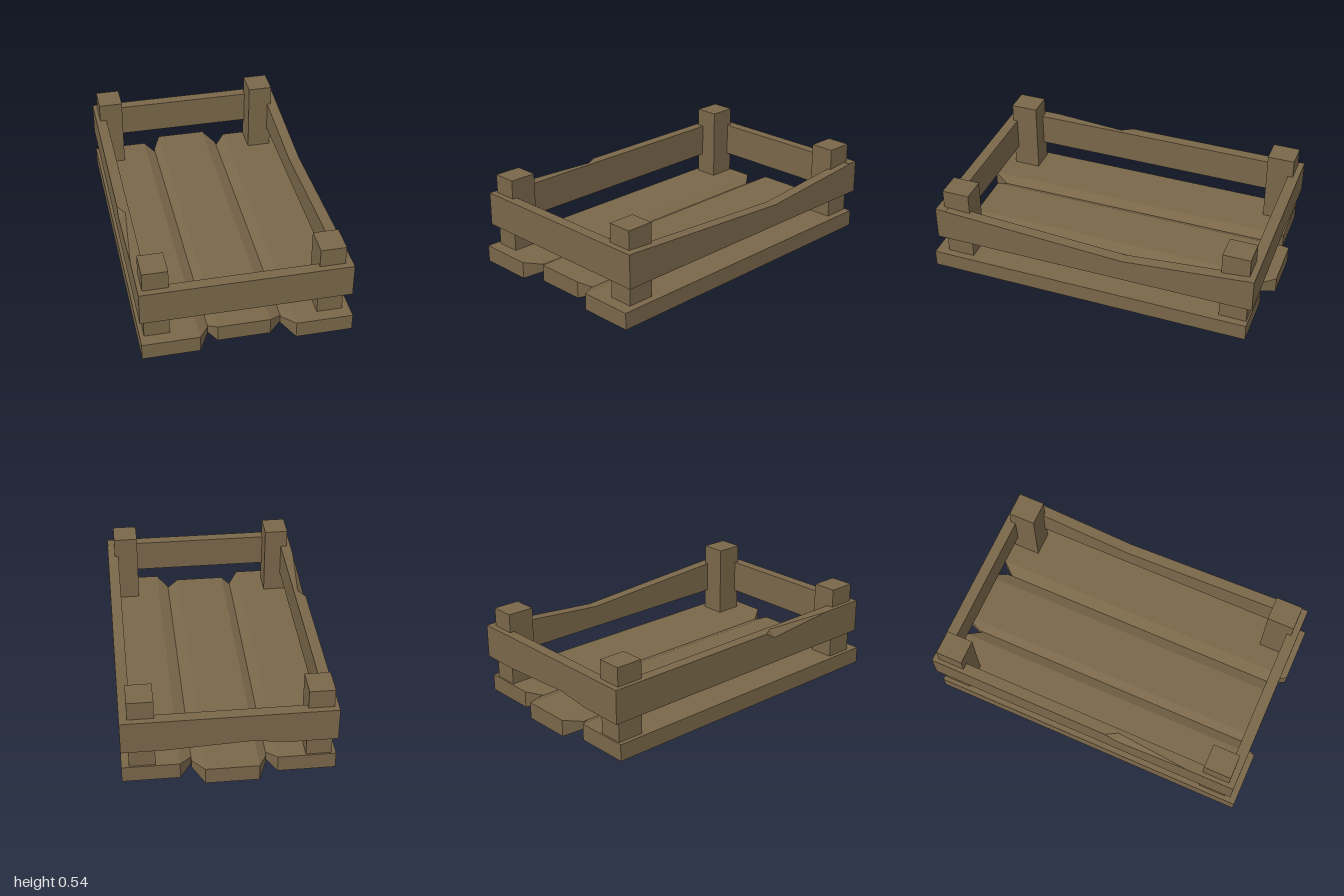
import * as THREE from 'three';
import { ConvexGeometry } from 'three/addons/geometries/ConvexGeometry.js';

const wood = new THREE.MeshStandardMaterial({ color: 0x7a674a });
wood.name = 'weathered wood';

function part(group, name, geometry) {
  const flat = geometry.index ? geometry.toNonIndexed() : geometry;
  flat.computeVertexNormals();
  const mesh = new THREE.Mesh(flat, wood);
  mesh.name = name;
  group.add(mesh);
  return mesh;
}

// Box given by its limits
function block(x0, x1, y0, y1, z0, z1) {
  return new THREE.BoxGeometry(x1 - x0, y1 - y0, z1 - z0)
    .translate((x0 + x1) / 2, (y0 + y1) / 2, (z0 + z1) / 2);
}

// Solid through cross-sections [z, [[x, y], ...]], corners counter-clockwise
function loft(sections) {
  const n = sections[0][1].length, pos = [], index = [];
  sections.forEach(([z, ring]) => ring.forEach(([x, y]) => pos.push(x, y, z)));
  const last = (sections.length - 1) * n;
  for (let s = 0; s < last; s += n) {
    for (let j = 0; j < n; j++) {
      const a = s + j, b = s + (j + 1) % n;
      index.push(a, b, b + n, a, b + n, a + n);
    }
  }
  for (let j = 1; j < n - 1; j++) {
    index.push(0, j + 1, j, last, last + j, last + j + 1);
  }
  const g = new THREE.BufferGeometry();
  g.setAttribute('position', new THREE.Float32BufferAttribute(pos, 3));
  g.setIndex(index);
  return g;
}

// Floor board: square core plus narrow tongues at x = t, drawn in from the ends
function plank(x0, x1, z0, z1, tongues, backInset, frontInset) {
  const pts = [];
  const add = (xs, ys, zs) => xs.forEach(x => ys.forEach(y => zs.forEach(z =>
    pts.push(new THREE.Vector3(x, y, z)))));
  add([x0, x1], [0, 0.1], [z0, z1]);
  add(tongues, [0.028, 0.075], [z0 + backInset, z1 - frontInset]);
  return new ConvexGeometry(pts);
}

export function createModel() {
  const group = new THREE.Group();
  group.name = 'woodenCrate';
  const LOW = 0.228, HIGH = 0.428;

  // Floor boards meeting in worn grooves
  part(group, 'rightFloorPlank', plank(-0.6, -0.272, -0.94, 1, [-0.212], 0.08, 0.1));
  part(group, 'middleFloorPlank', plank(-0.162, 0.14, -1, 0.94, [-0.212, 0.208], 0.11, 0.05));
  part(group, 'leftFloorPlank', plank(0.275, 0.6, -0.94, 1, [0.208], 0.08, 0.1));

  // Corner posts
  for (const [x0, x1, side] of [[-0.575, -0.43, 'right'], [0.41, 0.557, 'left']]) {
    for (const [z0, z1, end] of [[-0.93, -0.768, 'Back'], [0.765, 0.928, 'Front']]) {
      part(group, side + end + 'Post', block(x0, x1, 0.1, 0.54, z0, z1));
    }
  }

  // Straight front rail
  part(group, 'frontRail', block(-0.6, 0.6, LOW, HIGH, 0.9, 0.965));

  // Left rail with a worn dip along the top
  part(group, 'leftRail', loft([[-0.9, HIGH - 0.003], [-0.2, 0.362], [0.9, HIGH - 0.002]]
    .map(([z, top]) => [z, [[0.535, LOW], [0.6, LOW], [0.6, top], [0.535, top]]])));

  // Right rail with a chip out of its upper outer edge
  part(group, 'rightRail', loft([[-0.9, 0, 0], [0.16, 0, 0], [0.23, 0.04, 0.04], [0.68, 0, 0], [0.9, 0, 0]]
    .map(([z, d, h]) => [z, [[-0.6, LOW], [-0.535, LOW], [-0.535, HIGH], [-0.6 + d, HIGH], [-0.6, HIGH - h]]])));

  // Back rail with a shallow chip under its outer edge
  const backRail = part(group, 'backRail', loft([[-0.6, 0, 0], [-0.35, 0, 0], [0.12, 0.05, 0.025], [0.33, 0, 0], [0.6, 0, 0]]
    .map(([z, d, h]) => [z, [[-0.965 + d, LOW], [-0.9, LOW], [-0.9, HIGH], [-0.965, HIGH], [-0.965, LOW + h]]])));
  backRail.rotation.y = -Math.PI / 2;

  return group;
}
